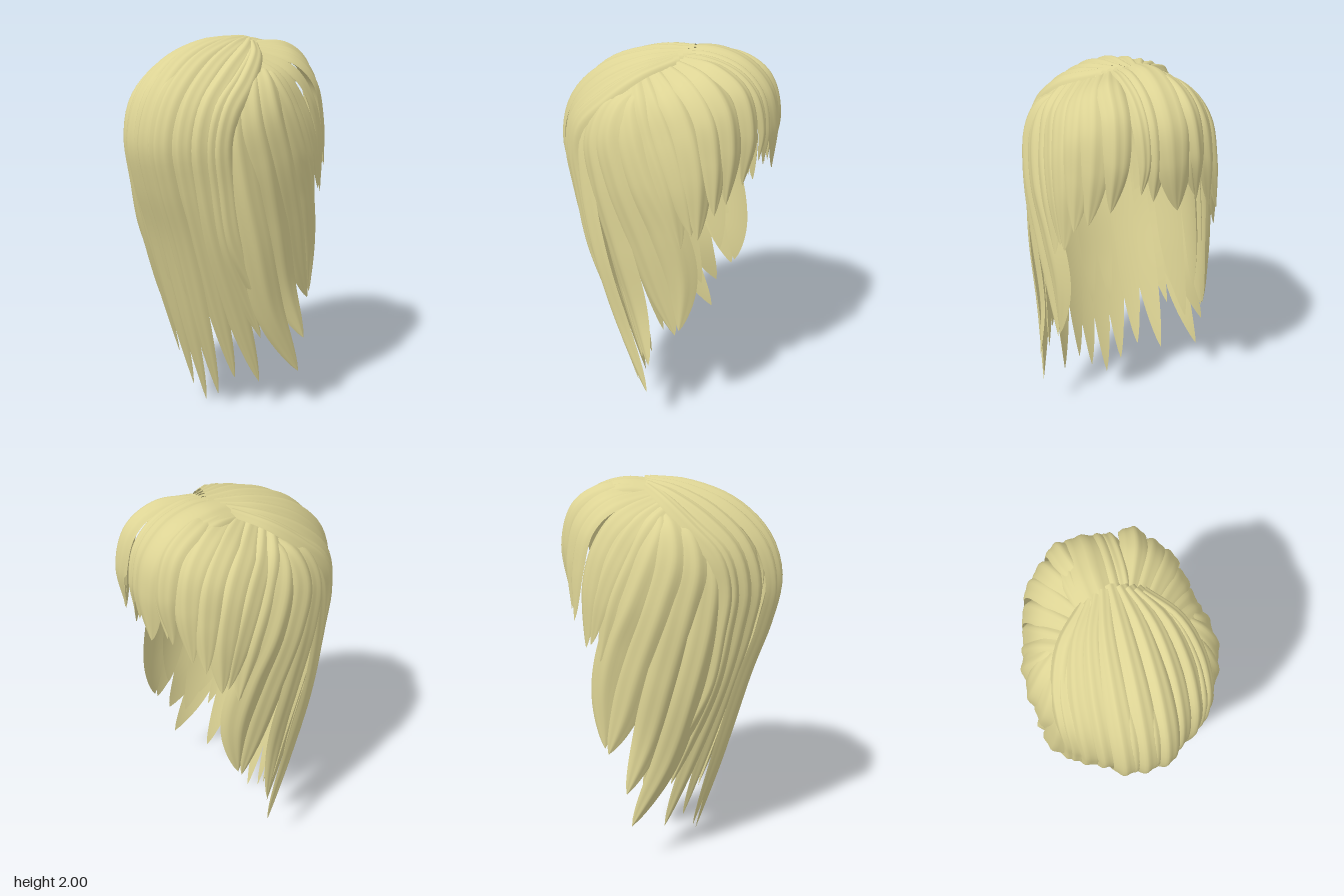
import * as THREE from 'three';

const material = new THREE.MeshStandardMaterial({ color: 0xdcd394, side: THREE.DoubleSide });
const { clamp, lerp, smoothstep } = THREE.MathUtils;

// Point inside the head that a strand turns its flat side away from
function headCentre(p) {
  return new THREE.Vector3(0, Math.min(p.y, 1.4), -0.3 * clamp((1.4 - p.y) / 1.0, 0, 1));
}

// Strand outline: narrow root, full middle, leaf-shaped tip
function outline(t, rootWidth, taper) {
  const root = lerp(rootWidth, 1, smoothstep(t, 0, 0.3));
  const k = clamp((t - taper) / (1 - taper), 0, 1);
  return root * Math.max(0.01, Math.pow(1 - Math.pow(k, 2.1), 0.8));
}

// One lock of hair: a lens-shaped, softly ridged section swept along a curve
function strand(points, width, { thick = 0.028, rootWidth = 0.6, taper = 0.5, ridges = 2 } = {}) {
  const curve = new THREE.CatmullRomCurve3(points.map((p) => new THREE.Vector3(...p)), false, 'centripetal');
  const rows = 44, cols = 12, pos = [], index = [];
  for (const layer of [0, 1]) {
    const base = pos.length / 3;
    for (let i = 0; i <= rows; i++) {
      const t = i / rows;
      const p = curve.getPointAt(t), T = curve.getTangentAt(t);
      const N = p.clone().sub(headCentre(p));
      N.addScaledVector(T, -N.dot(T)).normalize();
      const B = T.clone().cross(N);
      const f = outline(t, rootWidth, taper), half = 0.5 * width * f;
      for (let j = 0; j <= cols; j++) {
        const s = (j / cols) * 2 - 1, lens = 1 - s * s;
        let d = -thick * f - (half * half * s * s) / 0.9;
        if (layer === 0) d += f * lens * (thick + 0.005 * Math.cos(s * Math.PI * ridges + width * 40));
        const q = p.clone().addScaledVector(B, s * half).addScaledVector(N, d);
        pos.push(q.x, q.y, q.z);
      }
    }
    for (let i = 0; i < rows; i++) {
      for (let j = 0; j < cols; j++) {
        const a = base + i * (cols + 1) + j, b = a + 1, c = a + cols + 1, e = c + 1;
        if (layer === 0) index.push(a, b, c, b, e, c);
        else index.push(a, c, b, b, c, e);
      }
    }
  }
  const geo = new THREE.BufferGeometry();
  geo.setAttribute('position', new THREE.Float32BufferAttribute(pos, 3));
  geo.setIndex(index);
  geo.computeVertexNormals();
  return new THREE.Mesh(geo, material);
}

export function createModel() {
  const model = new THREE.Group();
  model.name = 'hair';
  const groups = {};
  const add = (name, points, width, options) => {
    if (!groups[name]) {
      groups[name] = new THREE.Group();
      groups[name].name = name;
      model.add(groups[name]);
    }
    const mesh = strand(points, width, options);
    mesh.name = name + 'Strand' + (groups[name].children.length + 1);
    groups[name].add(mesh);
  };
  const mirrored = (name, points, width, options) => {
    add(name + 'Left', points, width, options);
    add(name + 'Right', points.map(([x, y, z]) => [-x, y, z]), width, options);
  };

  // Long back hair: [x at the fullest point, tip x, tip y, tip z, width, lift]
  const back = [
    [0.0, 0.01, 0.0, 0.13, 0.13, 0.0],
    [0.1, 0.105, 0.07, 0.135, 0.13, 0.0], [-0.1, -0.085, 0.07, 0.135, 0.13, 0.0],
    [0.05, 0.06, 0.45, 0.23, 0.12, -0.025], [-0.05, -0.05, 0.45, 0.23, 0.12, -0.025],
    [0.185, 0.195, 0.18, 0.1, 0.13, 0.0], [-0.185, -0.18, 0.18, 0.1, 0.13, 0.0],
    [0.265, 0.31, 0.17, 0.03, 0.14, 0.0], [-0.265, -0.305, 0.17, 0.03, 0.14, 0.0],
    [0.315, 0.36, 0.45, 0.08, 0.12, -0.01], [-0.315, -0.36, 0.45, 0.08, 0.12, -0.01],
    [0.345, 0.42, 0.5, 0.04, 0.12, 0.0], [-0.345, -0.42, 0.5, 0.04, 0.12, 0.0],
  ];
  for (const [x, tx, ty, tz, w, lift] of back) {
    const drop = x * x, side = Math.abs(x), g = 1 + lift;
    const f = Math.sqrt(1 - (x / 0.5) ** 2) - 0.07 * smoothstep(side, 0.1, 0.19);
    add('backHair', [
      [x * 0.4, 2.0 - drop * 0.2 + lift, -0.15 + side * 0.15],
      [x * 0.78, 1.985 - drop * 0.55 + lift, 0.07 - side * 0.1],
      [x * 0.98, 1.895 - drop * 0.75 + lift, 0.32 * f * g - side * 0.06],
      [x * 1.02, 1.72 - drop * 0.45, 0.5 * f * g],
      [x, 1.5, 0.57 * f * g],
      [x, 1.28, 0.53 * f * g],
      [x * 1.02, 1.0, 0.435 * f * g + 0.02 * (1 - f)],
      [lerp(x, tx, 0.55), lerp(1.0, ty, 0.55), lerp(0.435 * f, tz, 0.52)],
      [tx, ty, tz],
    ], w, { rootWidth: 0.6, taper: 0.68, thick: 0.03 });
  }

  // Long side locks, tucked under the back hair and sweeping forward and down
  mirrored('sideHair', [[0.29, 1.82, 0.14], [0.34, 1.73, 0.23], [0.37, 1.58, 0.295], [0.4, 1.35, 0.285], [0.43, 1.0, 0.21],
    [0.435, 0.6, 0.085], [0.475, 0.24, -0.1]], 0.17, { taper: 0.65 });
  mirrored('sideHair', [[0.29, 1.86, 0.06], [0.365, 1.77, 0.17], [0.42, 1.62, 0.215], [0.45, 1.4, 0.175], [0.45, 1.05, 0.08],
    [0.445, 0.7, -0.02], [0.49, 0.43, -0.12]], 0.19, { taper: 0.65 });
  mirrored('sideHair', [[0.27, 1.87, 0.0], [0.38, 1.8, 0.08], [0.45, 1.66, 0.11], [0.48, 1.43, 0.05], [0.465, 1.1, -0.07],
    [0.44, 0.82, -0.16], [0.42, 0.61, -0.24]], 0.19, { taper: 0.65 });
  mirrored('sideHair', [[0.25, 1.88, -0.03], [0.37, 1.81, 0.02], [0.44, 1.69, -0.01], [0.475, 1.45, -0.1], [0.455, 1.2, -0.21],
    [0.43, 0.95, -0.27], [0.415, 0.64, -0.26]], 0.19, { taper: 0.65 });
  // Inner layer behind the side locks
  mirrored('innerSideHair', [[0.29, 1.79, 0.16], [0.36, 1.55, 0.23], [0.39, 1.2, 0.17], [0.4, 0.8, 0.07],
    [0.42, 0.42, -0.05]], 0.18, { taper: 0.5, rootWidth: 0.15 });
  mirrored('innerSideHair', [[0.3, 1.82, 0.05], [0.41, 1.62, 0.05], [0.43, 1.3, -0.03], [0.42, 1.0, -0.12],
    [0.4, 0.7, -0.17]], 0.2, { taper: 0.45, rootWidth: 0.15 });

  // Layered locks fanning from under the parting over the temples
  const fan = [
    [[[0.07, 1.97, -0.1], [0.155, 1.965, -0.33], [0.185, 1.87, -0.48], [0.205, 1.67, -0.54], [0.22, 1.42, -0.5]], 0.13],
    [[[0.09, 1.965, -0.05], [0.225, 1.925, -0.31], [0.27, 1.81, -0.43], [0.295, 1.62, -0.475], [0.315, 1.35, -0.455]], 0.15],
    [[[0.12, 1.955, -0.02], [0.275, 1.895, -0.26], [0.335, 1.77, -0.375], [0.36, 1.57, -0.42], [0.375, 1.31, -0.42]], 0.15],
    [[[0.16, 1.945, 0.01], [0.32, 1.85, -0.19], [0.375, 1.71, -0.29], [0.4, 1.5, -0.35], [0.405, 1.18, -0.35]], 0.16],
    [[[0.2, 1.925, 0.04], [0.35, 1.82, -0.1], [0.405, 1.66, -0.2], [0.425, 1.45, -0.28], [0.415, 1.2, -0.32]], 0.16],
    [[[0.23, 1.91, 0.06], [0.37, 1.81, -0.03], [0.43, 1.64, -0.11], [0.45, 1.42, -0.2], [0.43, 1.12, -0.27]], 0.17],
  ];
  for (const [points, w] of fan) mirrored('templeHair', points, w, { taper: 0.55 });

  // Central fringe: one broad lock with narrower ones beside it
  const fringe = (x, tipX, tipY, w, inset, options) => add('fringe', [
    [x * 0.8, 1.985 - inset, -0.06], [x, 1.995 - inset, -0.24], [x, 1.94 - inset, -0.41], [x, 1.82, -0.525 + inset],
    [x, 1.65, -0.565 + inset], [tipX, tipY, -0.545 + inset]], w, { taper: 0.55, rootWidth: 0.8, ...options });
  fringe(-0.09, -0.1, 1.4, 0.24, 0, { ridges: 3 });
  fringe(0.01, 0.02, 1.46, 0.13, 0.01);
  fringe(0.065, 0.08, 1.5, 0.09, 0.015);
  fringe(-0.17, -0.2, 1.45, 0.11, 0.03);

  return model;
}
